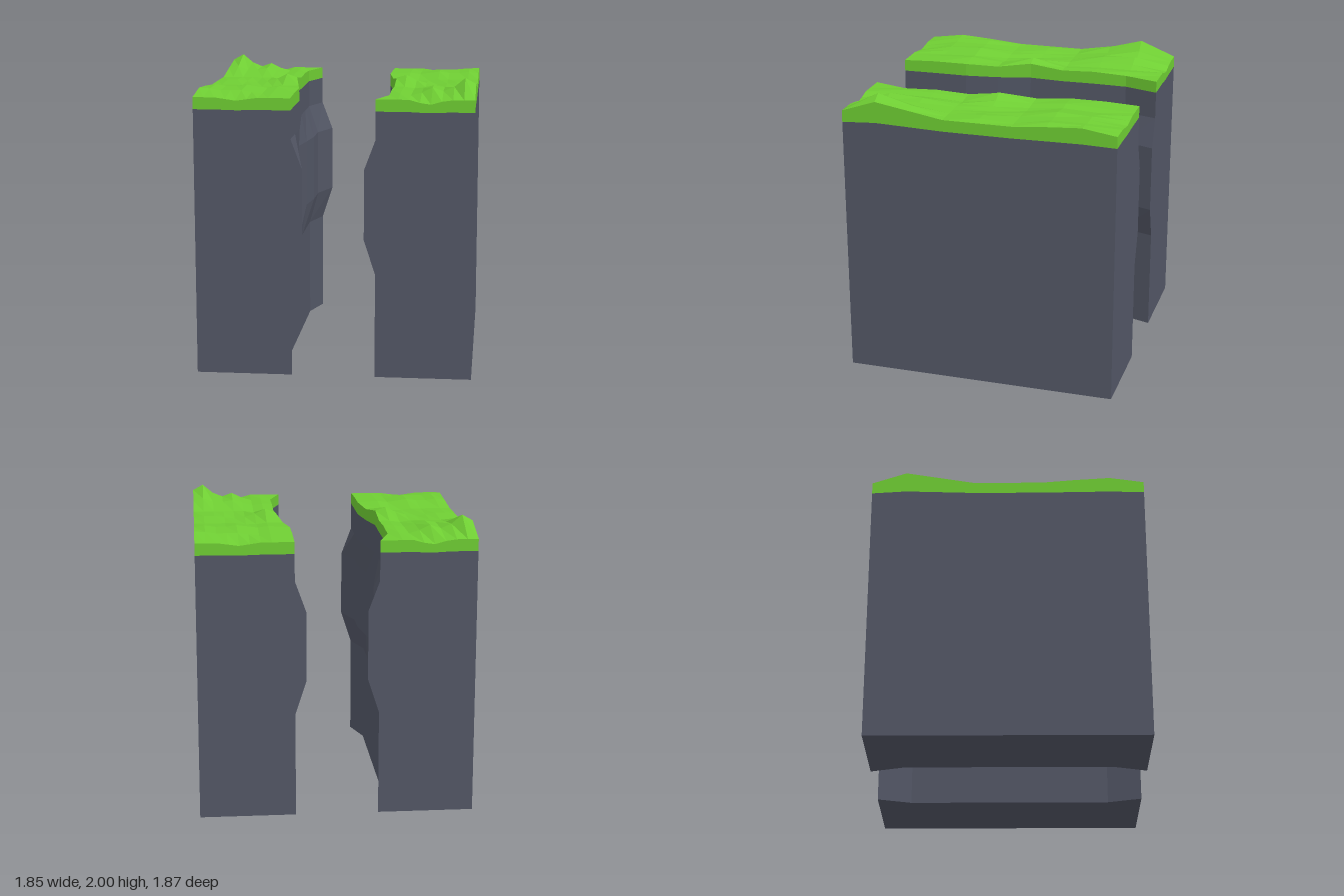
import * as THREE from 'three';

const N = 8;
const OUTER = 0.927, DEPTH = 0.937;
const rowY = [0, 0.235, 0.47, 0.71, 0.94, 1.175, 1.41, 1.61, 1.8];

// Inner edge of the cliff from back to front, at three heights
const foot = [0.28, 0.355, 0.355, 0.355, 0.355, 0.355, 0.355, 0.355, 0.28];
const belly = [0.205, 0.285, 0.285, 0.32, 0.355, 0.32, 0.293, 0.29, 0.205];
const brow = [0.28, 0.28, 0.28, 0.315, 0.355, 0.355, 0.355, 0.355, 0.28];

// Turf bumps in hundredths: rows run back to front, columns inner to outer
const bumps = [
  [0, 0, 0, -1, -2, -1, 0, 0, 0],
  [1, 1, 0, 1, 2, 2, 2, 3, 3.5],
  [1, 2, 1, 2, 3, 2, 2, 3, 2],
  [0, 0, -1, -1, 0, 0, 0, 0, 0],
  [3, 5.5, 2, 0, -1, 0, 1, 1, 0],
  [0, 0, -1, 0, 0, 0, 0, 0, 0],
  [1, 1, 0, 2, 4, 3, 3, 5.5, 4],
  [0, 1, 0, 2, 5.5, 3, 6, 12, 8],
  [0, 0, 0, -2, -3, -1, 0, 0, 0],
];

const zAt = k => -DEPTH + (2 * DEPTH * k) / N;
const seamY = (i, k) => 1.8 + 0.0018 * bumps[k][i];

// Inner column follows the cliff edge, the others are evenly spaced
function xAt(i, inner) {
  return i === 0 ? inner : 0.355 + ((OUTER - 0.355) * i) / N;
}

function rockPoint(i, j, k) {
  const edge = j < 4 ? foot : j < 7 ? belly : brow;
  return [xAt(i, edge[k]), j === N ? seamY(i, k) : rowY[j], zAt(k)];
}

function turfPoint(i, j, k) {
  const y = j === 0 ? seamY(i, k) : 1.88 + bumps[k][i] / 100;
  return [xAt(i, brow[k]), y, zAt(k)];
}

// Closed block of six gridded sides; i runs across, j up, k front-ward
function block(rows, point) {
  const pos = [];
  const side = (nu, nv, f) => {
    for (let u = 0; u < nu; u++) {
      for (let v = 0; v < nv; v++) {
        const a = f(u, v), b = f(u + 1, v), c = f(u + 1, v + 1), d = f(u, v + 1);
        pos.push(...a, ...b, ...c, ...a, ...c, ...d);
      }
    }
  };
  side(N, rows, (k, j) => point(0, j, k)); // inner
  side(rows, N, (j, k) => point(N, j, k)); // outer
  side(N, rows, (i, j) => point(i, j, N)); // front
  side(rows, N, (j, i) => point(i, j, 0)); // back
  side(N, N, (i, k) => point(i, 0, k)); // bottom
  side(N, N, (k, i) => point(i, rows, k)); // top
  const g = new THREE.BufferGeometry();
  g.setAttribute('position', new THREE.Float32BufferAttribute(pos, 3));
  g.computeVertexNormals();
  return g;
}

export function createModel() {
  const model = new THREE.Group();
  model.name = 'canyon';
  const rockMat = new THREE.MeshStandardMaterial({ color: 0x535766, flatShading: true });
  const turfMat = new THREE.MeshStandardMaterial({ color: 0x6fce33, flatShading: true });
  const rockGeo = block(N, rockPoint);
  const turfGeo = block(1, turfPoint);

  // The second cliff is the first turned half way round
  for (const [name, turn] of [['leftCliff', 0], ['rightCliff', Math.PI]]) {
    const cliff = new THREE.Group();
    cliff.name = name;
    const rock = new THREE.Mesh(rockGeo, rockMat);
    rock.name = 'rock';
    const turf = new THREE.Mesh(turfGeo, turfMat);
    turf.name = 'turf';
    cliff.add(rock, turf);
    cliff.rotation.y = turn;
    model.add(cliff);
  }
  return model;
}
